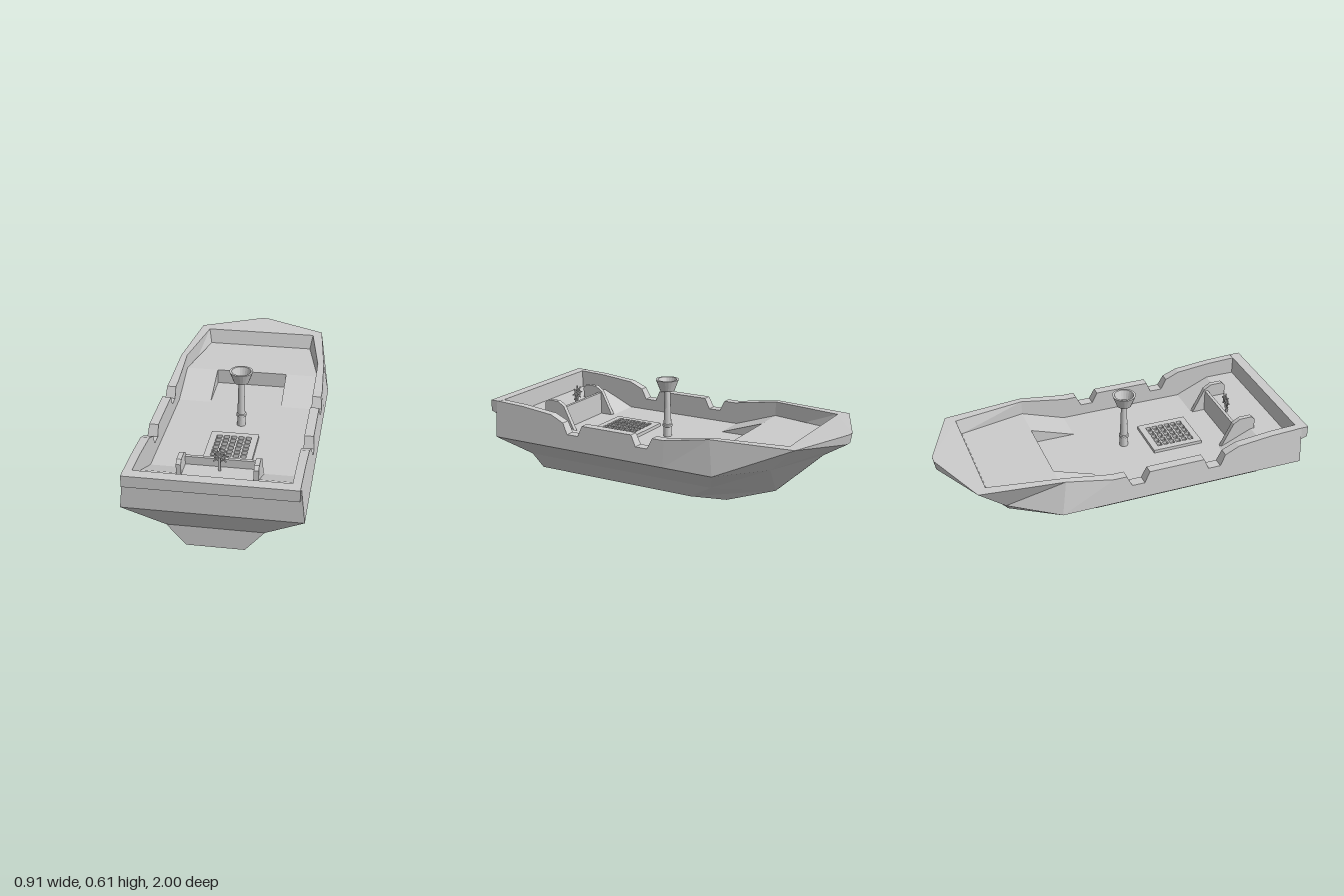
import * as THREE from 'three';

const mat = new THREE.MeshStandardMaterial({ color: 0xcccccc, flatShading: true, side: THREE.DoubleSide });
const DECK = 0.28, UPPER = 0.365;

function add(parent, name, geo, x = 0, y = 0, z = 0) {
  const m = new THREE.Mesh(geo, mat);
  m.name = name;
  m.position.set(x, y, z);
  parent.add(m);
  return m;
}

// Plan outline of [x, z] points, extruded upward from y0 to y1
function plan(points, y0, y1, holes = []) {
  const toShape = (pts, C) => new C(pts.map(([x, z]) => new THREE.Vector2(x, -z)));
  const s = toShape(points, THREE.Shape);
  holes.forEach(h => s.holes.push(toShape(h, THREE.Path)));
  const g = new THREE.ExtrudeGeometry(s, { depth: y1 - y0, bevelEnabled: false });
  return g.rotateX(-Math.PI / 2).translate(0, y0, 0);
}

// Side outline of [z, y] points, extruded across x and centred on x = 0
function side(points, width) {
  const s = new THREE.Shape(points.map(p => new THREE.Vector2(...p)));
  const g = new THREE.ExtrudeGeometry(s, { depth: width, bevelEnabled: false });
  return g.rotateY(-Math.PI / 2).translate(width / 2, 0, 0);
}

const rect = (x0, z0, x1, z1) => [[x0, z0], [x1, z0], [x1, z1], [x0, z1]];

// Half sections run: keel edge, low chine, chine, lip, rim outside, rim inside, deck edge
function hullGeometry() {
  const rimLine = [
    [0.96, 0.467], [0.78, 0.46], [0.58, 0.44], [0.5, 0.405], [0.47, 0.345], [0.4, 0.345], [0.375, 0.405],
    [0.06, 0.405], [0.03, 0.345], [-0.04, 0.345], [-0.07, 0.405], [-0.14, 0.405],
  ];
  const halves = rimLine.map(([z, top]) => {
    const zs = Math.min(z, 0.865);
    const rim = [0.455 - (top - 0.26) * 0.106, top, z];
    return [[0.15, 0, zs], [0.25, 0.115, zs], [0.455, 0.26, z], rim, rim, [0.39, top, z], [0.39, DECK, z]];
  });
  const shoulder = [0.425, 0.447, -0.4], corner = [0.375, 0.447, -0.85];
  halves.push(
    [[0.15, 0, -0.14], [0.25, 0.115, -0.32], [0.455, 0.26, -0.43], shoulder, shoulder,
      [0.39, 0.447, -0.4], [0.39, DECK, -0.4]],
    [[0.1, 0, -0.34], [0.12, 0.115, -0.64], [0.33, 0.305, -0.7], corner, corner,
      [0.325, 0.447, -0.8], [0.31, UPPER, -0.775]],
    [[0.1, 0, -0.34], [0.12, 0.115, -0.64], [0.05, 0.33, -0.87], [0.02, 0.4, -0.99], [0.02, 0.455, -1],
      [0.325, 0.447, -0.8], [0.31, UPPER, -0.775]],
  );
  const mirror = p => [-p[0], p[1], p[2]];
  const rings = halves.map(h => [...h.map(mirror).reverse(), ...h]);
  const pos = [];
  const quad = (a, b, c, d) => pos.push(...a, ...b, ...c, ...a, ...c, ...d);
  for (let i = 0; i < rings.length - 1; i++)
    for (let j = 0; j < rings[i].length - 1; j++)
      quad(rings[i][j], rings[i + 1][j], rings[i + 1][j + 1], rings[i][j + 1]);
  // Transom and bow close across the middle
  const stern = halves[0], bow = halves[halves.length - 1];
  for (let k = 0; k < 4; k++) quad(mirror(stern[k]), stern[k], stern[k + 1], mirror(stern[k + 1]));
  for (let k = 0; k < 6; k++) quad(bow[k], mirror(bow[k]), mirror(bow[k + 1]), bow[k + 1]);
  const g = new THREE.BufferGeometry();
  g.setAttribute('position', new THREE.Float32BufferAttribute(pos, 3));
  g.computeVertexNormals();
  return g;
}

export function createModel() {
  const boat = new THREE.Group();
  boat.name = 'boat';
  add(boat, 'hull', hullGeometry());
  add(boat, 'sternRim', side([[0.94, UPPER], [0.96, 0.39], [1, 0.405], [1, 0.467], [0.94, 0.467]], 0.866));

  // Decks
  add(boat, 'mainDeck', plan(rect(-0.39, -0.4, 0.39, 0.94), DECK - 0.01, DECK));
  add(boat, 'bowDeck', plan([[-0.39, -0.4], [0.39, -0.4], [0.31, -0.775], [-0.31, -0.775]], UPPER - 0.005, UPPER));
  add(boat, 'bowStep', new THREE.BoxGeometry(0.78, UPPER - DECK, 0.01), 0, (UPPER + DECK) / 2, -0.405);
  add(boat, 'sternDeck', plan([[-0.39, 0.77], [-0.2, 0.77], [-0.2, 0.68], [0.2, 0.68], [0.2, 0.77],
    [0.39, 0.77], [0.39, 0.945], [-0.39, 0.945]], DECK, UPPER));

  // Ramps and stern banisters, one each side
  for (const s of [-1, 1]) {
    add(boat, 'bowRamp', side([[-0.4, DECK], [-0.15, DECK], [-0.4, UPPER]], 0.185), s * 0.2975);
    add(boat, 'sternRamp', side([[0.58, DECK], [0.77, DECK], [0.77, UPPER]], 0.19), s * 0.295);
    add(boat, 'banister', side([[0.59, DECK], [0.79, DECK], [0.79, 0.425], [0.77, 0.445],
      [0.7, 0.445], [0.66, 0.42], [0.6, 0.3]], 0.025), s * 0.195);
  }
  add(boat, 'sternWall', new THREE.BoxGeometry(0.38, 0.13, 0.018), 0, DECK + 0.065, 0.672);

  // Cargo grate: frame with raised lattice
  const holes = [], cols = 5, rows = 6, cw = 0.2 / cols, ch = 0.228 / rows;
  for (let i = 0; i < cols; i++)
    for (let j = 0; j < rows; j++) {
      const x = -0.1 + i * cw, z = 0.247 + j * ch;
      holes.push(rect(x + 0.005, z + 0.005, x + cw - 0.005, z + ch - 0.005));
    }
  add(boat, 'grate', plan(rect(-0.13, 0.215, 0.13, 0.505), DECK, DECK + 0.018, holes));

  // Mast with collar and hollow lookout basket
  const profile = [[0, DECK], [0.024, DECK], [0.022, 0.335], [0.028, 0.338], [0.028, 0.35], [0.022, 0.353],
    [0.016, 0.545], [0.04, 0.545], [0.065, 0.61], [0.053, 0.61], [0.036, 0.558], [0, 0.558]];
  add(boat, 'mastAndLookout', new THREE.LatheGeometry(profile.map(p => new THREE.Vector2(...p)), 20), 0.012, 0, 0.085);

  // Steering wheel on a small post
  const wheel = new THREE.Group();
  wheel.name = 'steeringWheel';
  wheel.position.set(0, 0.443, 0.708);
  add(wheel, 'wheelRim', new THREE.TorusGeometry(0.027, 0.004, 6, 16));
  add(wheel, 'wheelHub', new THREE.CylinderGeometry(0.008, 0.008, 0.016, 8).rotateX(Math.PI / 2));
  for (let i = 0; i < 4; i++)
    add(wheel, 'wheelSpoke', new THREE.BoxGeometry(0.006, 0.092, 0.005)).rotation.z = i * Math.PI / 4;
  add(wheel, 'wheelPost', new THREE.BoxGeometry(0.012, 0.08, 0.01), 0, -0.042, 0.01);
  boat.add(wheel);
  return boat;
}
